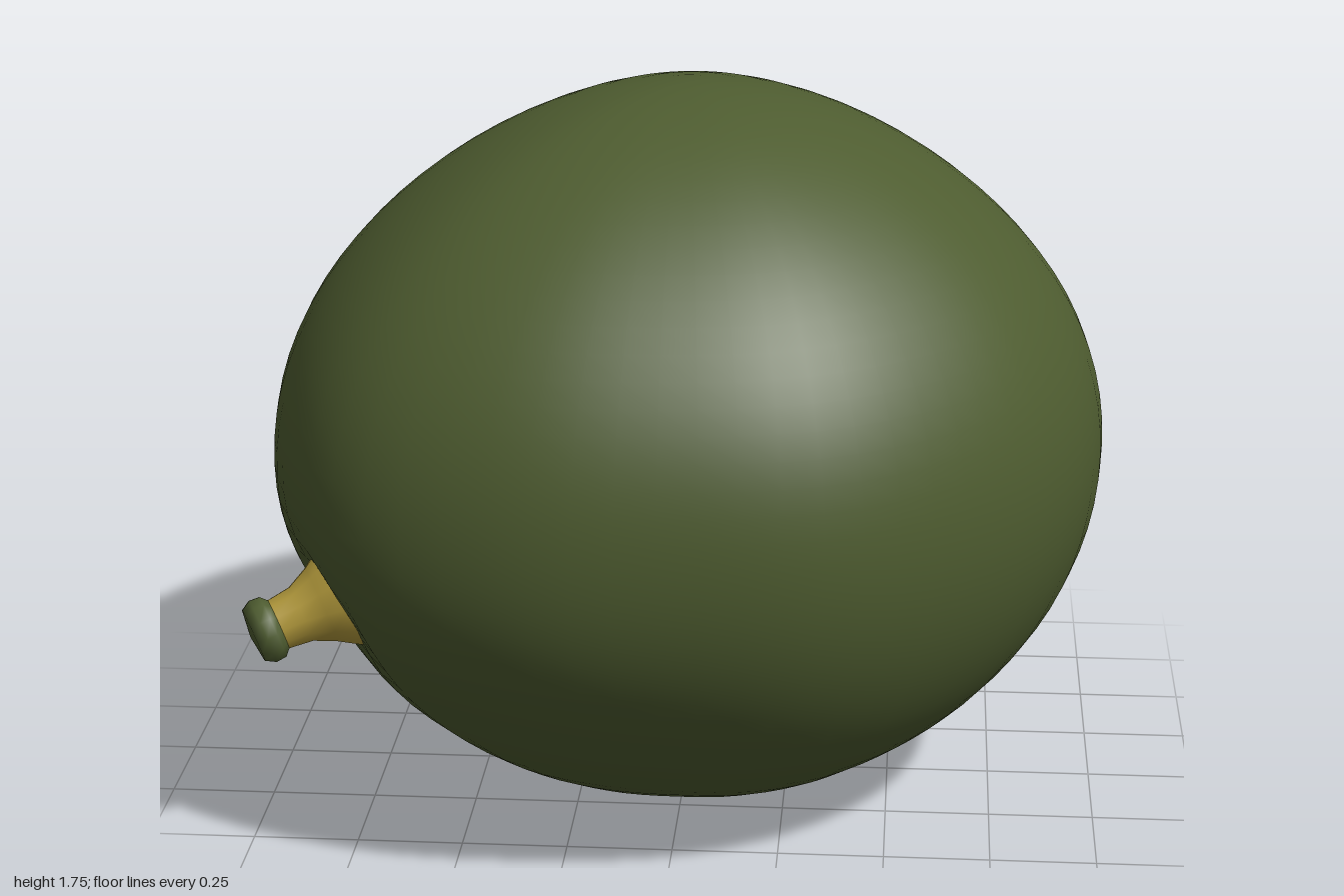
import * as THREE from 'three';
import { mergeVertices } from 'three/addons/utils/BufferGeometryUtils.js';

const rind = new THREE.MeshStandardMaterial({ color: 0x4e5c30 });
rind.name = 'rind green';
const straw = new THREE.MeshStandardMaterial({ color: 0xb39a3c });
straw.name = 'stem yellow';

// Radius of the widest outline, every 22.5 degrees from +x towards +z
const outline = [1, 0.975, 0.95, 0.955, 0.95, 1, 1.05, 1.01, 0.968, 0.91, 0.9, 0.925, 0.96, 0.975, 0.97, 0.985];

// Smooth closed interpolation of the outline
function outlineRadius(angle) {
  const n = outline.length;
  const t = ((angle / (2 * Math.PI)) * n + 2 * n) % n;
  const i = Math.floor(t), f = t - i;
  const [a, b, c, d] = [-1, 0, 1, 2].map(k => outline[(i + k + n) % n]);
  return b + 0.5 * f * (c - a + f * (2 * a - 5 * b + 4 * c - d + f * (3 * (b - c) + d - a)));
}

// Slightly lopsided round fruit, flatter under the stem end and dented at the stem
function fruitGeometry(stemBase) {
  const sphere = new THREE.SphereGeometry(1, 64, 44);
  sphere.deleteAttribute('uv');
  sphere.deleteAttribute('normal');
  const geo = mergeVertices(sphere, 1e-4);
  const pos = geo.attributes.position;
  const v = new THREE.Vector3();
  const center = new THREE.Vector3(0, 0.875, 0);
  for (let i = 0; i < pos.count; i++) {
    v.fromBufferAttribute(pos, i);
    const flat = Math.hypot(v.x, v.z), dy = v.y;
    const r = flat > 1e-6 ? outlineRadius(Math.atan2(v.z, v.x)) : 1;
    const towardStem = Math.max(0, -0.77 * v.x + 0.64 * v.z);
    const shoulder = 4 * dy * dy * flat * flat;
    v.set(v.x * r, 0.875 + 0.873 * dy, v.z * r);
    v.y += dy < 0 ? 0.07 * shoulder * towardStem : -0.025 * shoulder;
    const dent = 0.06 * Math.exp(-v.distanceToSquared(stemBase) / 0.025);
    v.lerp(center, dent);
    pos.setXYZ(i, v.x, v.y, v.z);
  }
  geo.computeVertexNormals();
  return geo;
}

function lathe(name, points, material) {
  const profile = points.map(([r, y]) => new THREE.Vector2(r, y));
  const mesh = new THREE.Mesh(new THREE.LatheGeometry(profile, 12), material);
  mesh.name = name;
  return mesh;
}

export function createModel() {
  const group = new THREE.Group();
  group.name = 'roundFruit';
  const base = new THREE.Vector3(-0.76, 0.635, 0.51);
  const tip = new THREE.Vector3(-0.945, 0.565, 0.585);

  const fruit = new THREE.Mesh(fruitGeometry(base), rind);
  fruit.name = 'fruitBody';
  group.add(fruit);

  // Short flared stem with a cut green end
  const stem = new THREE.Group();
  stem.name = 'stem';
  const axis = tip.clone().sub(base);
  const len = axis.length();
  stem.add(
    lathe('stemNeck', [[0.15, -0.05], [0.125, 0.015], [0.095, 0.06], [0.07, 0.11], [0.062, len - 0.04]], straw),
    lathe('stemEnd', [[0.062, len - 0.045], [0.078, len - 0.03], [0.08, len - 0.005], [0.066, len + 0.018], [0, len + 0.026]], rind)
  );
  stem.position.copy(base);
  stem.quaternion.setFromUnitVectors(new THREE.Vector3(0, 1, 0), axis.normalize());
  group.add(stem);
  return group;
}
